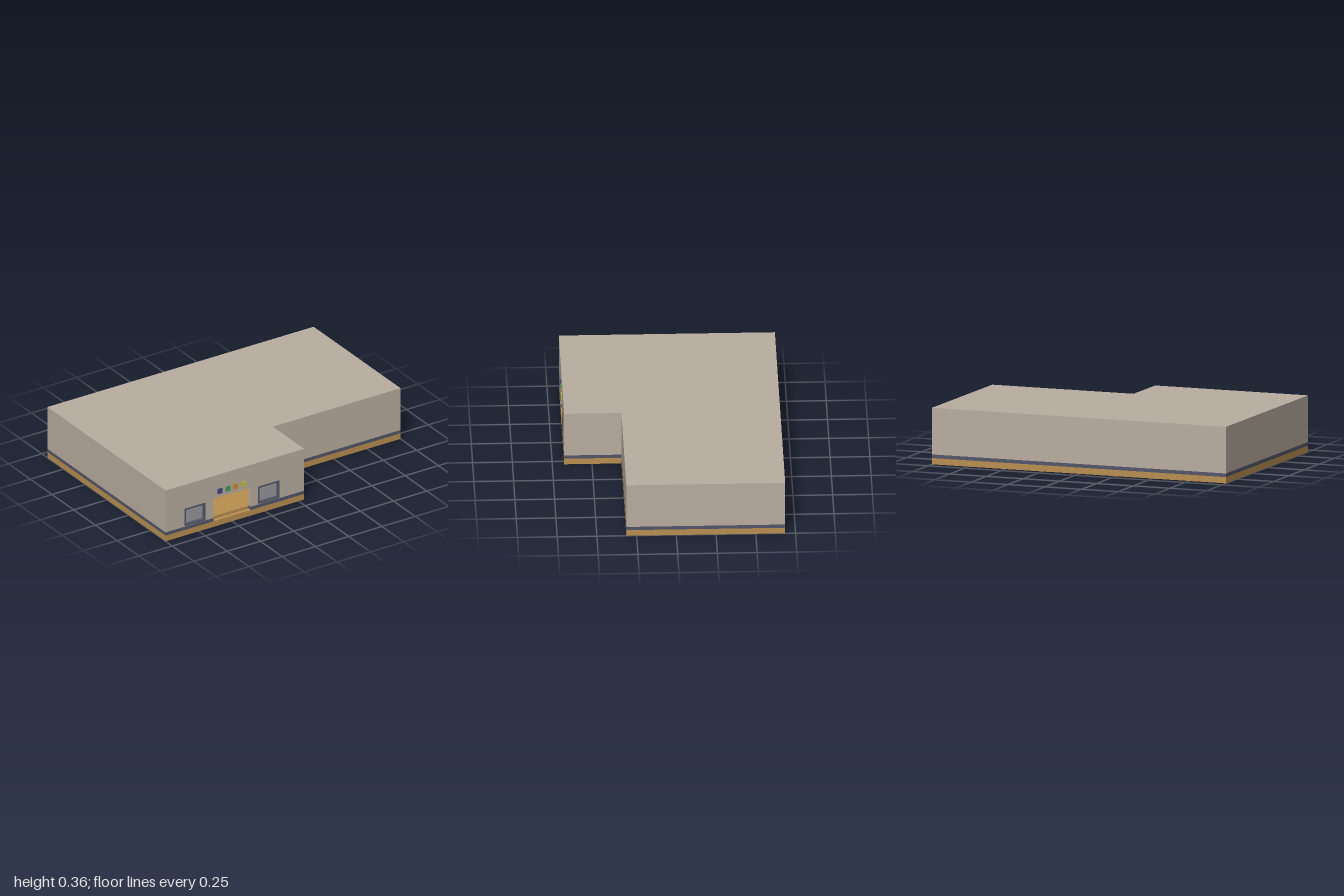
import * as THREE from 'three';

const T = 0.025;                       // wall thickness
const BACK = -0.685, STEP = 0.315, FRONT = 0.675, INNER = 0.04;
const BASE = 0.04, BAND = 0.063, TOP = 0.36, ROOF = 0.02;
const DOOR = [-0.64, -0.36, 0.2];      // left, right, top

const mat = (color) => new THREE.MeshStandardMaterial({ color });
const wallMat = mat(0xb9ada0), navy = mat(0x53566a), tan = mat(0xb98f50), glass = mat(0x96989c);

const polygon = (points) => new THREE.Shape(points.map(([x, y]) => new THREE.Vector2(x, y)));

function roundedRect(Type, x0, y0, x1, y1, r) {
  const p = new Type();
  p.absarc(x1 - r, y1 - r, r, 0, Math.PI / 2);
  p.absarc(x0 + r, y1 - r, r, Math.PI / 2, Math.PI);
  p.absarc(x0 + r, y0 + r, r, Math.PI, Math.PI * 1.5);
  p.absarc(x1 - r, y0 + r, r, Math.PI * 1.5, Math.PI * 2);
  p.closePath();
  return p;
}

export function createModel() {
  const group = new THREE.Group();

  const add = (name, geometry, material) => {
    const mesh = new THREE.Mesh(geometry, material);
    mesh.name = name;
    group.add(mesh);
    return mesh;
  };
  // Floor-plan shape given as [x, z], raised from y0 to y1
  const plan = (name, points, y0, y1, material) => {
    const g = new THREE.ExtrudeGeometry(polygon(points.map(([x, z]) => [x, -z])), { depth: y1 - y0, bevelEnabled: false });
    add(name, g.rotateX(-Math.PI / 2).translate(0, y0, 0), material);
  };
  // Front-facing shape, pushed forward from z0 to z1
  const facing = (name, shape, z0, z1, material) => {
    const g = new THREE.ExtrudeGeometry(shape, { depth: z1 - z0, bevelEnabled: false, curveSegments: 5 });
    add(name, g.translate(0, 0, z0), material);
  };
  const box = (name, x0, x1, y0, y1, z0, z1, material) => {
    add(name, new THREE.BoxGeometry(x1 - x0, y1 - y0, z1 - z0), material)
      .position.set((x0 + x1) / 2, (y0 + y1) / 2, (z0 + z1) / 2);
  };

  // L-shaped footprint, optionally inset
  const footprint = (d) => [
    [-1 + d, BACK + d], [1 - d, BACK + d], [1 - d, STEP - d],
    [INNER - d, STEP - d], [INNER - d, FRONT - d], [-1 + d, FRONT - d],
  ];
  // Wall loop left open at the shop front
  const f = FRONT - T;
  const loop = [
    [-1, f], [-1, BACK], [1, BACK], [1, STEP], [INNER, STEP], [INNER, f],
    [INNER - T, f], [INNER - T, STEP - T], [1 - T, STEP - T],
    [1 - T, BACK + T], [-1 + T, BACK + T], [-1 + T, f],
  ];

  // Plinth, raised interior floor, walls and roof
  plan('plinth', footprint(0), 0, BASE, tan);
  plan('floor', footprint(T), BASE, 0.06, tan);
  plan('baseBand', loop, BASE, BAND, navy);
  plan('walls', loop, BAND, TOP - ROOF, wallMat);
  plan('roof', footprint(0), TOP - ROOF, TOP, wallMat);

  // Shop front with doorway notch and window openings
  const [dl, dr, dt] = DOOR;
  const facade = polygon([
    [-1, BAND], [dl, BAND], [dl, dt], [dr, dt], [dr, BAND],
    [INNER, BAND], [INNER, TOP - ROOF], [-1, TOP - ROOF],
  ]);
  const windows = [[-0.86, -0.7], [-0.305, -0.145]];
  const y0 = 0.066, y1 = 0.19, w = 0.011;
  for (const [a, b] of windows) facade.holes.push(roundedRect(THREE.Path, a, y0, b, y1, 0.008));
  facing('frontWall', facade, f, FRONT, wallMat);
  box('frontBandRight', -1, dl, BASE, BAND, f, FRONT, navy);
  box('frontBandLeft', dr, INNER, BASE, BAND, f, FRONT, navy);

  // Window frames with recessed panes
  for (const [a, b] of windows) {
    const frame = roundedRect(THREE.Shape, a, y0, b, y1, 0.008);
    frame.holes.push(roundedRect(THREE.Path, a + w, y0 + w, b - w, y1 - w, 0.012));
    facing('windowFrame', frame, f, FRONT + 0.001, navy);
    box('windowPane', a + w / 2, b - w / 2, y0 + w / 2, y1 - w / 2, f + 0.001, f + 0.005, glass);
  }

  // Plain coloured sign blocks above the doorway
  [0x3d4380, 0x3f9a55, 0xc98a2e, 0xc3bd3c].forEach((color, i) => {
    const x = -0.593 + i * 0.058;
    box('signBlock', x - 0.016, x + 0.016, 0.226, 0.26, FRONT, FRONT + 0.007, mat(color));
  });

  return group;
}
